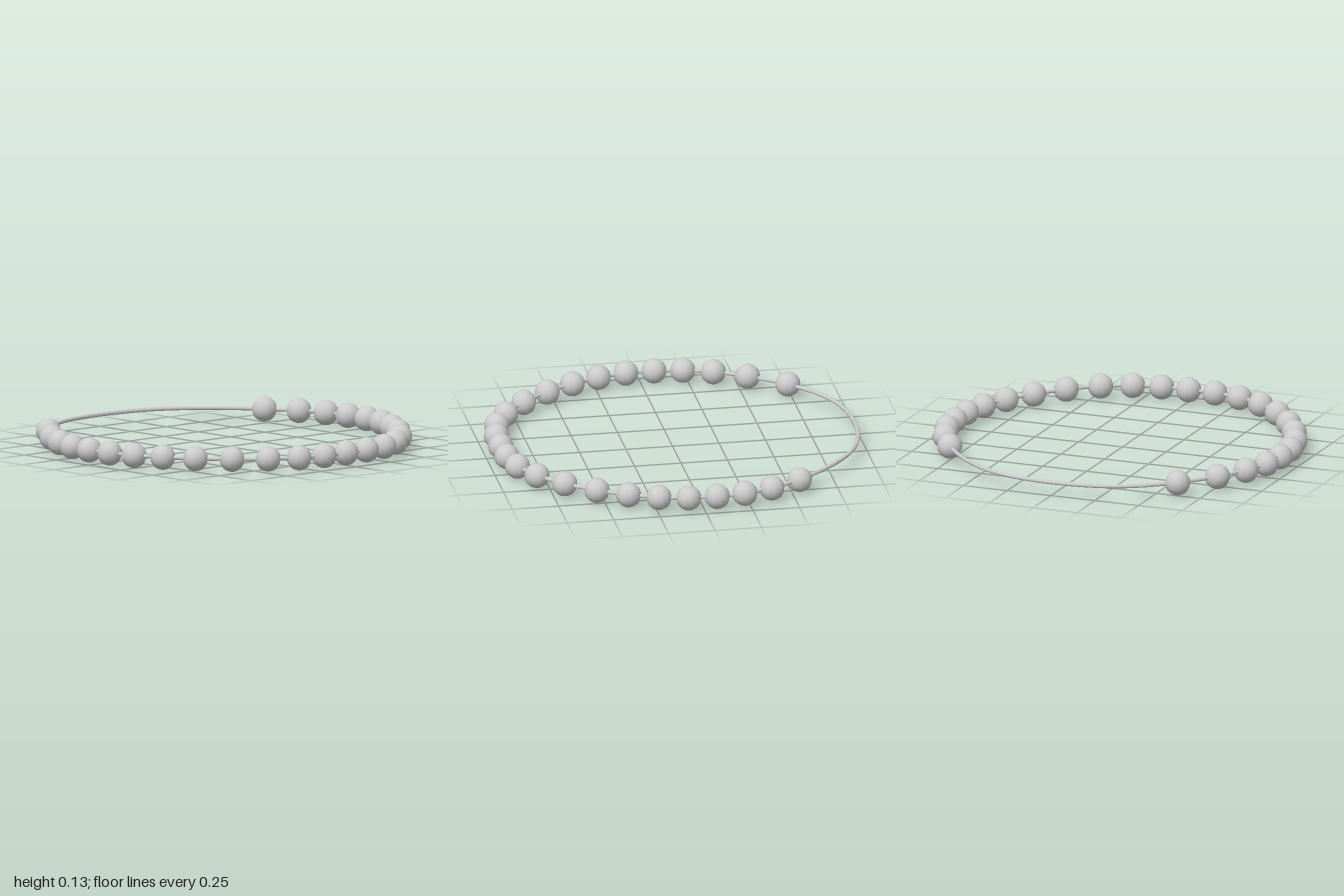
import * as THREE from 'three';

const R = 0.067; // bead radius, also the height of the cord

// Half of the loop as [x, z], from front centre round to the back
const beadHalf = [
  [0, 0.925], [0.152, 0.92], [0.305, 0.89], [0.457, 0.813], [0.603, 0.69],
  [0.728, 0.54], [0.823, 0.388], [0.89, 0.236], [0.925, 0.083], [0.93, -0.07],
  [0.912, -0.222], [0.86, -0.377], [0.765, -0.543],
];
const bareHalf = [[0.63, -0.71], [0.55, -0.786], [0.455, -0.86], [0.326, -0.928], [0.176, -0.966]];
const lastBead = [-0.615, -0.733];

export function createModel() {
  const group = new THREE.Group();
  group.name = 'beadedNecklace';
  const material = new THREE.MeshStandardMaterial({ color: 0xcccccc });

  // Cord: a closed thin tube through the mirrored loop
  const half = [...beadHalf, ...bareHalf];
  const mirrored = half.slice(1).reverse().map(([x, z]) => [-x, z]);
  const loop = [...half, [0, -0.98], ...mirrored];
  const curve = new THREE.CatmullRomCurve3(loop.map(([x, z]) => new THREE.Vector3(x, R, z)), true);
  const cord = new THREE.Mesh(new THREE.TubeGeometry(curve, 72, 0.011, 8, true), material);
  cord.name = 'cord';
  group.add(cord);

  // Beads: mirrored pairs, plus one extra on the right side near the back
  const beadGeometry = new THREE.SphereGeometry(R, 12, 14);
  const addBead = (x, z) => {
    const bead = new THREE.Mesh(beadGeometry, material);
    bead.name = 'bead';
    bead.position.set(x, R, z);
    group.add(bead);
  };
  beadHalf.forEach(([x, z]) => {
    addBead(x, z);
    if (x > 0) addBead(-x, z);
  });
  addBead(...lastBead);

  return group;
}
